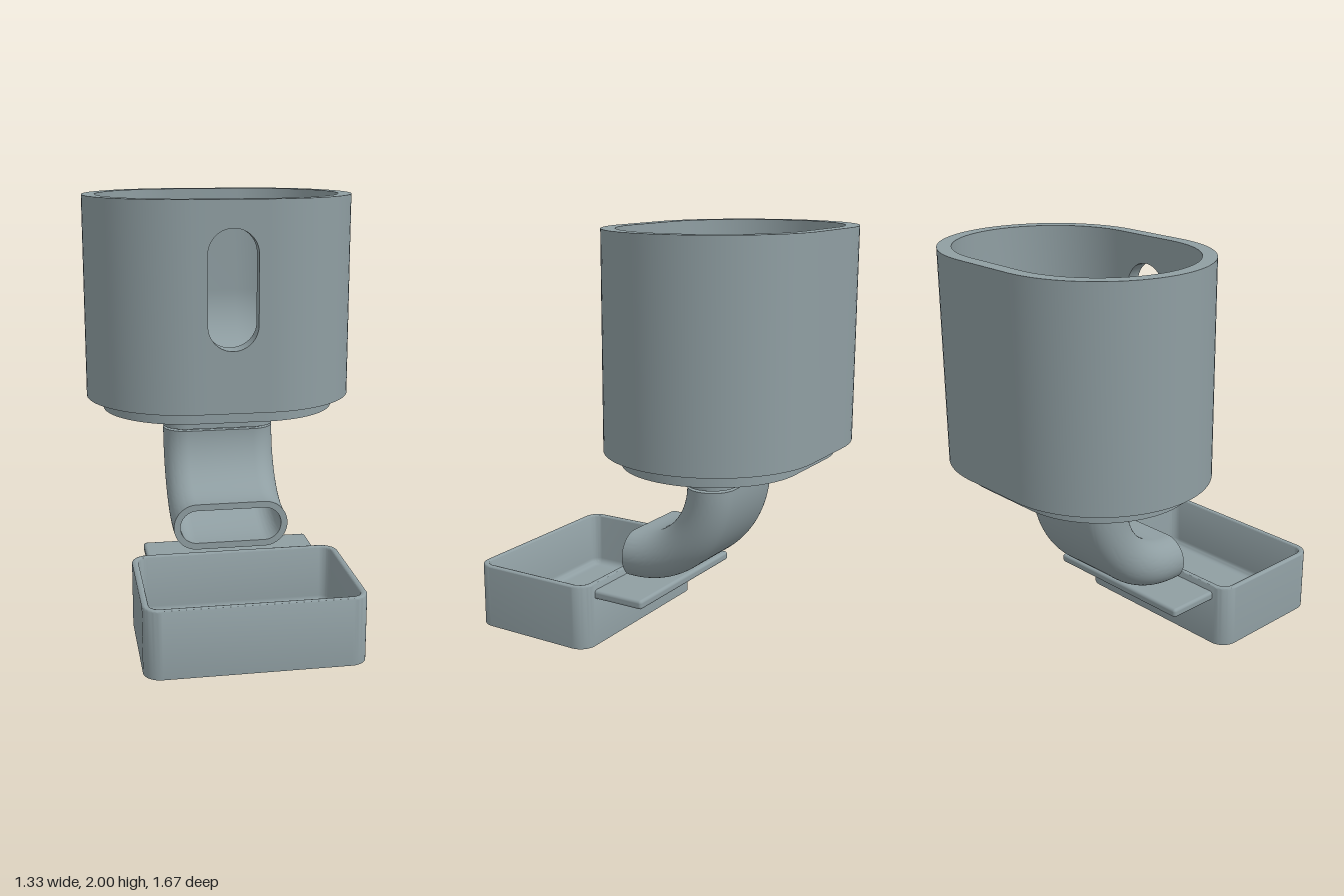
import * as THREE from 'three';
import { toCreasedNormals } from 'three/addons/utils/BufferGeometryUtils.js';
import { RoundedBoxGeometry } from 'three/addons/geometries/RoundedBoxGeometry.js';

const S = 0.167;      // half length of the straight side of every slot outline
const CZ = -0.333;    // hopper axis
const BORE = 0.083;   // half depth of the feed slot
const R_OUT = 0.5, R_IN = 0.435;
const BOWL_Y = 1.46, BOWL_H = 0.35;
const WIN_R = 0.12, WIN_LO = 1.42, WIN_HI = 1.75;

// Points on an arc in the (radius, height) plane
function arc(cx, cy, rx, ry, from, to, n) {
  return Array.from({ length: n + 1 }, (_, i) => {
    const t = from + (to - from) * i / n;
    return [cx + rx * Math.cos(t), cy + ry * Math.sin(t)];
  });
}

// Columns around rounded corners: each has a corner centre and a direction
function outline(corners, sweep, n) {
  const cols = [];
  for (const [x, z, start] of corners)
    for (let i = 0; i <= n; i++) cols.push({ x, z, a: start + sweep * i / n });
  return cols;
}
const slotOutline = outline([[-S, 0, Math.PI / 2], [S, 0, Math.PI * 1.5]], Math.PI, 40);

// Skin a grid of points; every column is a closed loop
function skin(grid, closed) {
  const pos = [];
  const cols = grid.length, rows = grid[0].length;
  for (let i = 0; i < (closed ? cols : cols - 1); i++) {
    const A = grid[i], B = grid[(i + 1) % cols];
    for (let j = 0; j < rows; j++) {
      const k = (j + 1) % rows;
      pos.push(...A[j], ...A[k], ...B[k], ...A[j], ...B[k], ...B[j]);
    }
  }
  const g = new THREE.BufferGeometry();
  g.setAttribute('position', new THREE.Float32BufferAttribute(pos, 3));
  return toCreasedNormals(g, 0.6);
}

// Carry a (radius, height) profile around an outline
const place = (c, profile) =>
  profile.map(([r, y]) => [c.x + r * Math.cos(c.a), y, c.z + r * Math.sin(c.a)]);
const sweep = (cols, profile, closed = true) => skin(cols.map(c => place(c, profile)), closed);

// Bowl profile from a given height down to the slot
function bowl(yTop) {
  const t = Math.asin(Math.max(0, (BOWL_Y - yTop) / BOWL_H));
  return arc(BORE, BOWL_Y, R_IN - BORE, BOWL_H, -t, -Math.PI / 2, 20);
}

export function createModel() {
  const model = new THREE.Group();
  const material = new THREE.MeshStandardMaterial({ color: 0x8f9ea2 });
  material.name = 'blue grey';
  const add = (name, geometry, parent = model) => {
    const m = new THREE.Mesh(geometry, material);
    m.name = name;
    parent.add(m);
    return m;
  };

  // Hopper, flange and neck share one axis
  const hopper = new THREE.Group();
  hopper.name = 'hopper';
  hopper.position.z = CZ;
  model.add(hopper);

  // Hopper wall and bowl, left open at the front where the window strip sits
  const front = x => ({ x, z: 0, a: Math.PI / 2 });
  add('hopperWall', sweep(
    [front(-WIN_R), ...slotOutline, front(WIN_R)],
    [[BORE, 1], [R_OUT, 1], [R_OUT, 2], [R_IN, 2], ...bowl(BOWL_Y)], false), hopper);

  // Window strip: one piece below the opening, one above
  const below = [], above = [];
  for (let i = 0; i <= 32; i++) {
    const t = Math.PI * i / 32;
    const c = front(WIN_R * Math.cos(t)), rise = WIN_R * Math.sin(t);
    const lo = WIN_LO - rise, hi = WIN_HI + rise;
    below.push(place(c, [[BORE, 1], [R_OUT, 1], [R_OUT, lo], ...bowl(lo)]));
    above.push(place(c, [[R_IN, hi], [R_OUT, hi], [R_OUT, 2], [R_IN, 2]]));
  }
  add('windowSill', skin(below, false), hopper);
  add('windowHead', skin(above, false), hopper);
  for (const side of [-1, 1]) {
    const jamb = add('windowJamb', new THREE.PlaneGeometry(R_OUT - R_IN, WIN_HI - WIN_LO), hopper);
    jamb.rotation.y = -side * Math.PI / 2;
    jamb.position.set(side * WIN_R, (WIN_LO + WIN_HI) / 2, (R_OUT + R_IN) / 2);
  }

  // Flange and neck under the hopper
  const ring = (r, y0, y1) => sweep(slotOutline, [[BORE, y0], [r, y0], [r, y1], [BORE, y1]]);
  add('flange', ring(0.417, 0.935, 1), hopper);
  add('neck', ring(0.115, 0.83, 0.935), hopper);

  // Curved chute: hollow slot section bent through a quarter turn to the front
  const BEND = 0.4, TOP = 0.82, OUTLET = 0.1;
  const bent = (c, r) => {
    const x = c.x + r * Math.cos(c.a), d = BEND - r * Math.sin(c.a);
    const path = [];
    for (let i = 0; i <= 32; i++) {
      const t = Math.PI / 2 * i / 32;
      path.push([x, TOP - d * Math.sin(t), CZ + BEND - d * Math.cos(t)]);
    }
    path.push([x, TOP - d, OUTLET]);
    return path;
  };
  add('chute', skin(slotOutline.map(c => [...bent(c, 0.115).reverse(), ...bent(c, BORE)]), true));

  // Tray: rounded walls swept around the corners, plus the middle of the floor
  const tray = new THREE.Group();
  tray.name = 'tray';
  tray.position.z = 0.5;
  model.add(tray);
  const TX = 0.42, TZ = 0.253, Q = Math.PI / 2;
  const trayOutline = outline(
    [[TX, TZ, 0], [-TX, TZ, Q], [-TX, -TZ, 2 * Q], [TX, -TZ, 3 * Q]], Q, 12);
  add('trayWall', sweep(trayOutline, [
    [0, 0], [0.08, 0],
    ...arc(0.07, 0.31, 0.01, 0.01, 0, Q, 4),
    ...arc(0.06, 0.31, 0.01, 0.01, Q, 2 * Q, 4),
    ...arc(0.015, 0.065, 0.035, 0.035, 0, -Q, 6),
    [0, 0.03],
  ]), tray);
  add('trayFloor', new THREE.BoxGeometry(2 * TX, 0.03, 2 * TZ), tray).position.y = 0.015;

  // Tab reaching back under the chute
  add('tab', new RoundedBoxGeometry(0.83, 0.045, 0.285, 3, 0.015)).position.set(0, 0.2625, 0.0445);

  return model;
}
